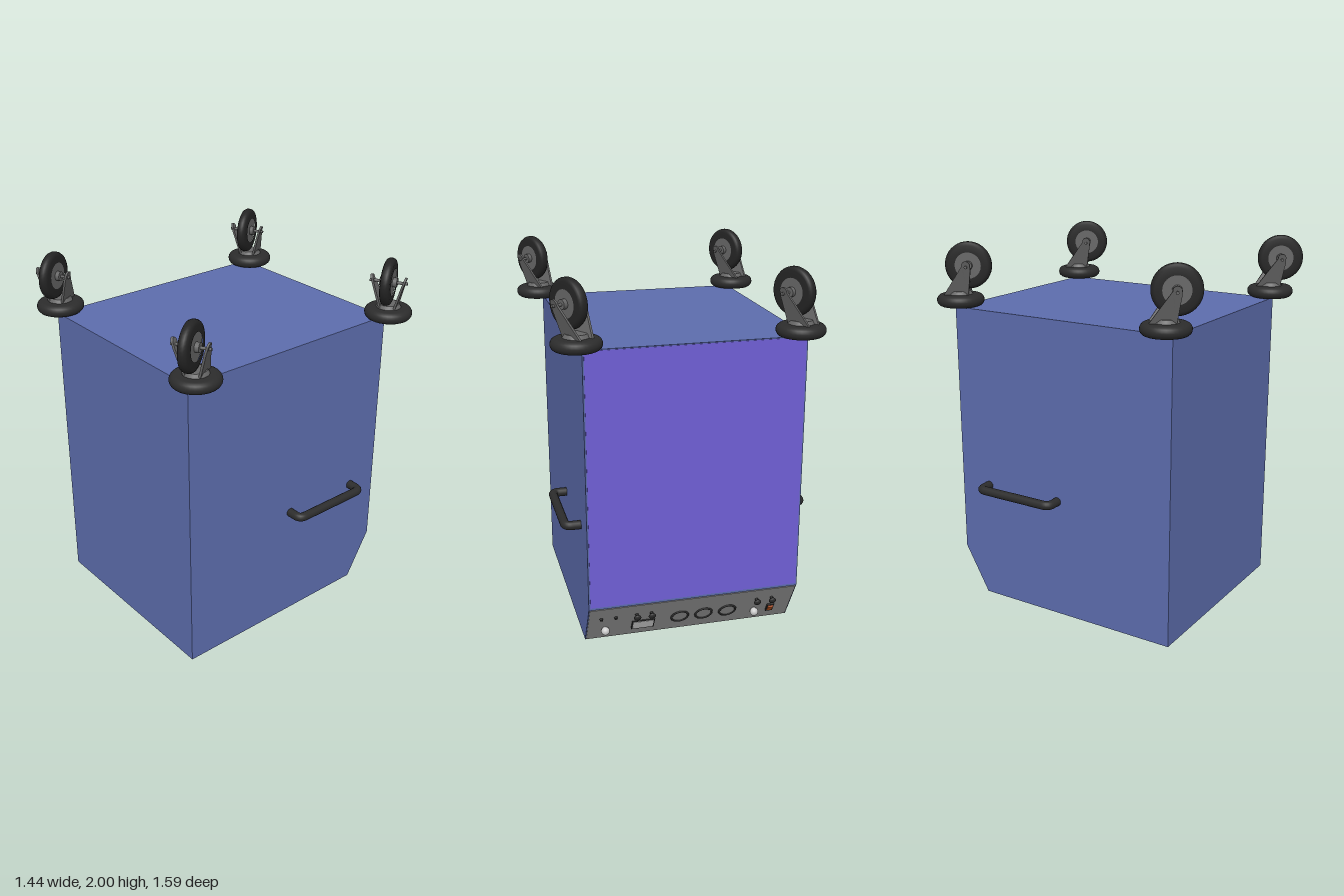
import * as THREE from 'three';

const mat = (color) => new THREE.MeshStandardMaterial({ color });
const BLUE = mat(0x5c6cac), PURPLE = mat(0x6f5fd6), BLACK = mat(0x2c2c2c), RUBBER = mat(0x242424);
const STEEL = mat(0x666666), PANEL = mat(0x909090), ORANGE = mat(0xc85a20), SILVER = mat(0xcccccc);

const X0 = -0.58, X1 = 0.57, W = X1 - X0, XC = (X0 + X1) / 2, TOP = 1.655;

function add(parent, name, geo, material, x = 0, y = 0, z = 0) {
  const m = new THREE.Mesh(geo, material);
  m.name = name;
  m.position.set(x, y, z);
  parent.add(m);
  return m;
}

// Cabinet: side profile with a sloped lower back edge, extruded across x
function cabinet() {
  const g = new THREE.Group();
  g.name = 'cabinet';
  const s = new THREE.Shape();
  [[-0.66, 0.004], [-0.66, TOP], [0.676, TOP], [0.676, 0.26], [0.53, 0.004]]
    .forEach(([a, y], i) => (i ? s.lineTo(a, y) : s.moveTo(a, y)));
  const geo = new THREE.ExtrudeGeometry(s, { depth: W, bevelEnabled: false });
  geo.rotateY(Math.PI / 2);             // profile axis becomes -z, depth becomes +x
  add(g, 'cabinetShell', geo, BLUE, X0);
  add(g, 'backPanel', new THREE.BoxGeometry(W - 0.016, TOP - 0.275, 0.008), PURPLE, XC, (TOP + 0.265) / 2, -0.675);
  add(g, 'basePanel', new THREE.BoxGeometry(W - 0.05, 0.008, 1.14), BLACK, XC, 0.004, 0.067);
  return g;
}

// Caster: round pad, splayed fork, wheel with hub and axle
function caster(x, z) {
  const g = new THREE.Group();
  g.name = 'caster';
  g.position.set(x, TOP, z);
  g.rotation.y = Math.PI / 6;

  const pad = [new THREE.Vector2(0, 0)];
  for (let i = 0; i <= 10; i++) {
    const a = -Math.PI / 2 + (i / 10) * Math.PI;
    pad.push(new THREE.Vector2(0.095 + 0.032 * Math.cos(a), 0.034 + 0.032 * Math.sin(a)));
  }
  pad.push(new THREE.Vector2(0, 0.066));
  add(g, 'casterPad', new THREE.LatheGeometry(pad, 36), BLACK);
  add(g, 'swivel', new THREE.CylinderGeometry(0.055, 0.07, 0.025, 24), STEEL, 0, 0.072, 0);

  const tyre = [[0.07, -0.026], [0.105, -0.026], [0.119, -0.02], [0.125, -0.008], [0.125, 0.008],
    [0.119, 0.02], [0.105, 0.026], [0.07, 0.026]].map(([r, h]) => new THREE.Vector2(r, h));
  const wheel = new THREE.Group();
  wheel.name = 'wheel';
  wheel.position.set(0, 0.22, 0.05);
  wheel.rotation.z = Math.PI / 2;
  g.add(wheel);
  add(wheel, 'tyre', new THREE.LatheGeometry(tyre, 40), RUBBER);
  add(wheel, 'hub', new THREE.CylinderGeometry(0.075, 0.075, 0.046, 32), STEEL);
  add(wheel, 'hubBoss', new THREE.CylinderGeometry(0.025, 0.025, 0.09, 20), STEEL);
  add(wheel, 'axle', new THREE.CylinderGeometry(0.008, 0.008, 0.2, 12), STEEL);

  // Fork blades: tapered plates bent outward towards the axle
  const blade = new THREE.Shape();
  blade.moveTo(-0.05, 0.06);
  blade.lineTo(0.085, 0.06);
  blade.lineTo(-0.028, 0.225);
  blade.absarc(-0.05, 0.23, 0.022, 0, Math.PI, false);
  blade.lineTo(-0.072, 0.2);
  blade.closePath();
  for (const side of [-1, 1]) {
    const geo = new THREE.ExtrudeGeometry(blade, { depth: 0.012, bevelEnabled: false });
    geo.translate(0, 0, -0.006).rotateY(Math.PI / 2);
    const p = geo.attributes.position;
    for (let i = 0; i < p.count; i++) {
      p.setX(i, p.getX(i) + side * (0.036 + 0.3 * Math.max(0, p.getY(i) - 0.07)));
    }
    geo.computeVertexNormals();
    add(g, 'forkBlade', geo, STEEL);
  }
  return g;
}

// Side handle: bent tube with rounded corners
function handle(side) {
  const wall = side > 0 ? X1 : X0, out = wall + side * 0.08, y = 0.667, r = 0.035;
  const za = -0.49, zb = -0.03;
  const v = (x, z) => new THREE.Vector3(x, y, z);
  const path = new THREE.CurvePath();
  path.add(new THREE.LineCurve3(v(wall, za), v(out - side * r, za)));
  path.add(new THREE.QuadraticBezierCurve3(v(out - side * r, za), v(out, za), v(out, za + r)));
  path.add(new THREE.LineCurve3(v(out, za + r), v(out, zb - r)));
  path.add(new THREE.QuadraticBezierCurve3(v(out, zb - r), v(out, zb), v(out - side * r, zb)));
  path.add(new THREE.LineCurve3(v(out - side * r, zb), v(wall, zb)));
  const m = new THREE.Mesh(new THREE.TubeGeometry(path, 80, 0.024, 16, false), BLACK);
  m.name = side > 0 ? 'leftHandle' : 'rightHandle';
  return m;
}

// Control panel on the slope; local z points outward, local y up the slope
function controlPanel() {
  const g = new THREE.Group();
  g.name = 'controlPanel';
  const H = 0.294;
  const up = new THREE.Vector3(0, 0.256, -0.146).normalize();
  const x = new THREE.Vector3(-1, 0, 0);
  g.quaternion.setFromRotationMatrix(new THREE.Matrix4().makeBasis(x, up, x.clone().cross(up)));
  g.position.set(XC, 0.132, -0.603);
  add(g, 'panelPlate', new THREE.BoxGeometry(W - 0.01, H - 0.012, 0.008), PANEL);

  const at = (u, v) => [(0.5 - u) * W, (0.5 - v) * H];
  const knob = (name, u, v, r, len, material) => {
    const geo = new THREE.CylinderGeometry(r, r, len, 20).rotateX(Math.PI / 2);
    add(g, name, geo, material, ...at(u, v), len / 2);
  };
  for (const u of [0.11, 0.185, 0.70, 0.77]) {
    knob('knobStem', u, 0.315, 0.009, 0.03, BLACK);
    const [kx, ky] = at(u, 0.315);
    add(g, 'knob', new THREE.SphereGeometry(0.02, 18, 12).scale(1, 1, 0.6), BLACK, kx, ky, 0.026);
  }
  for (const u of [0.32, 0.438, 0.555]) {
    add(g, 'dialRing', new THREE.TorusGeometry(0.046, 0.006, 10, 36), BLACK, ...at(u, 0.575), 0.005);
    knob('dialFace', u, 0.575, 0.044, 0.006, PANEL);
  }
  for (const u of [0.186, 0.914]) {
    knob('buttonStem', u, 0.65, 0.014, 0.03, SILVER);
    const [bx, by] = at(u, 0.65);
    add(g, 'button', new THREE.SphereGeometry(0.023, 18, 12), SILVER, bx, by, 0.024);
  }
  for (const u of [0.869, 0.937]) knob('indicator', u, 0.33, 0.009, 0.014, BLACK);
  add(g, 'switchFrame', new THREE.BoxGeometry(0.04, 0.06, 0.014), BLACK, ...at(0.103, 0.646), 0.006);
  add(g, 'rockerSwitch', new THREE.BoxGeometry(0.028, 0.046, 0.016), ORANGE, ...at(0.103, 0.646), 0.01).rotation.x = 0.2;
  add(g, 'displayFrame', new THREE.BoxGeometry(0.126, 0.078, 0.01), BLACK, ...at(0.731, 0.67), 0.004);
  add(g, 'display', new THREE.BoxGeometry(0.112, 0.064, 0.012), SILVER, ...at(0.731, 0.67), 0.005);
  return g;
}

export function createModel() {
  const model = new THREE.Group();
  model.name = 'cabinetOnCasters';
  model.add(cabinet(), controlPanel(), handle(1), handle(-1));
  for (const [x, z] of [[-0.54, -0.672], [0.595, -0.672], [-0.595, 0.63], [0.595, 0.63]]) {
    model.add(caster(x, z));
  }
  return model;
}
